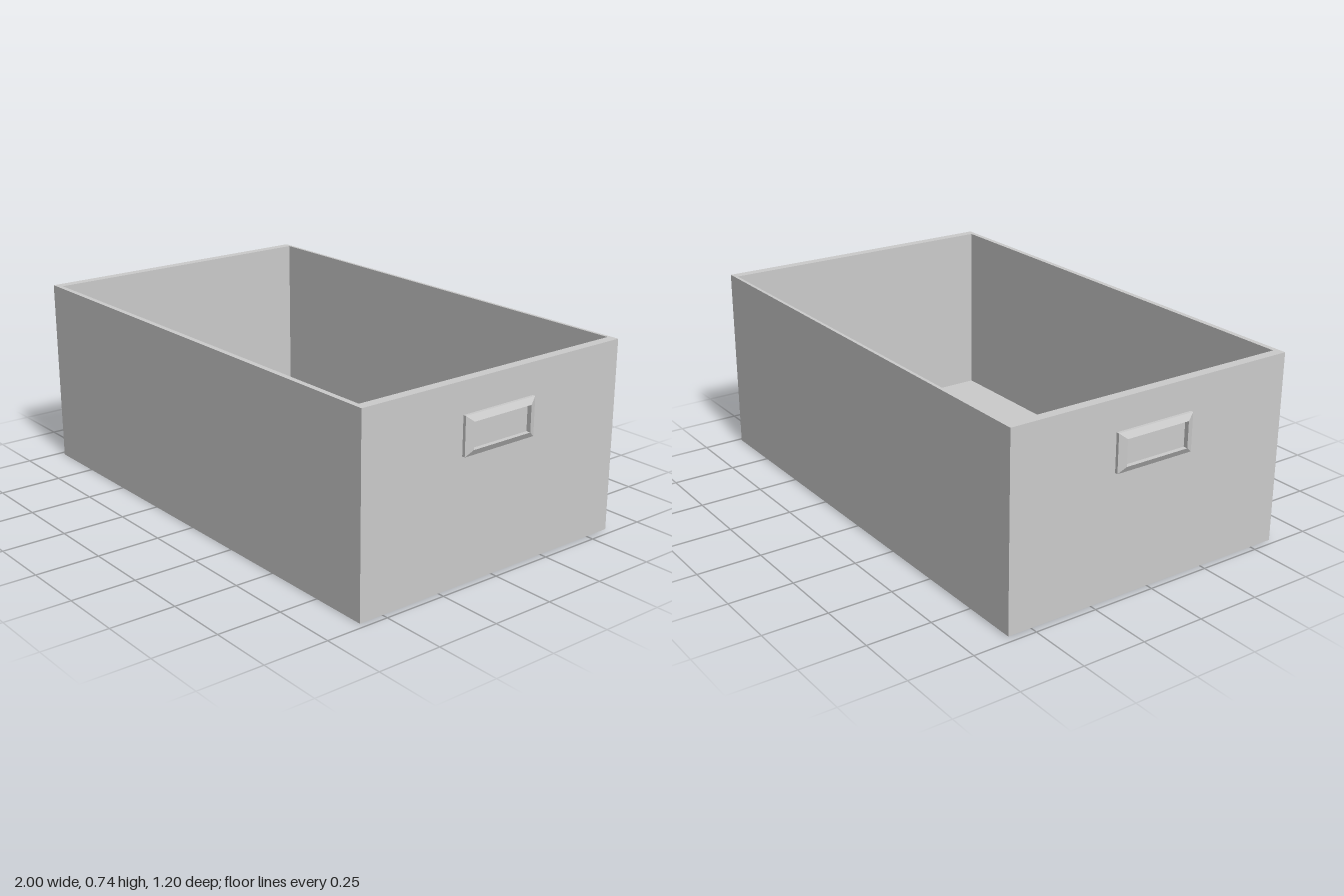
import * as THREE from 'three';

// Skins a stack of rectangles [halfX, halfZ, y, zOffset] and caps both ends
function loftRectangles(rings) {
  const corners = rings.map(([w, d, y, oz = 0]) => [
    [w, y, oz + d], [w, y, oz - d], [-w, y, oz - d], [-w, y, oz + d],
  ]);
  const positions = [];
  const quad = (a, b, c, d) => [a, b, c, a, c, d].forEach((p) => positions.push(...p));
  const first = corners[0];
  const last = corners[corners.length - 1];
  quad(first[3], first[2], first[1], first[0]);
  for (let r = 0; r < corners.length - 1; r++) {
    for (let i = 0; i < 4; i++) {
      const j = (i + 1) % 4;
      quad(corners[r][i], corners[r][j], corners[r + 1][j], corners[r + 1][i]);
    }
  }
  quad(...last);
  const geometry = new THREE.BufferGeometry();
  geometry.setAttribute('position', new THREE.Float32BufferAttribute(positions, 3));
  geometry.computeVertexNormals();
  return geometry;
}

export function createModel() {
  const model = new THREE.Group();
  model.name = 'storageBox';
  const grey = new THREE.MeshStandardMaterial({ color: 0xcccccc });
  grey.name = 'light grey';

  // Open box: outer walls, rim, inner walls and floor
  const box = new THREE.Mesh(loftRectangles([
    [0.976, 0.597, 0],
    [0.976, 0.597, 0.74],
    [0.938, 0.58, 0.74, -0.004],
    [0.938, 0.58, 0.03, -0.004],
  ]), grey);
  box.name = 'openBox';
  model.add(box);

  // Bevelled handle frames with a sunken middle, one on each end
  const handleGeometry = loftRectangles([
    [0.073, 0.163, -0.005],
    [0.073, 0.163, 0.012],
    [0.05, 0.134, 0.024],
    [0.05, 0.134, 0.006],
  ]);
  for (const side of [1, -1]) {
    const handle = new THREE.Mesh(handleGeometry, grey);
    handle.name = side > 0 ? 'leftHandle' : 'rightHandle';
    handle.rotation.z = -side * Math.PI / 2;
    handle.position.set(side * 0.976, 0.547, -0.004);
    model.add(handle);
  }

  // The box leans forward very slightly
  model.rotation.x = 0.004;
  model.position.y = 0.0024;
  return model;
}
